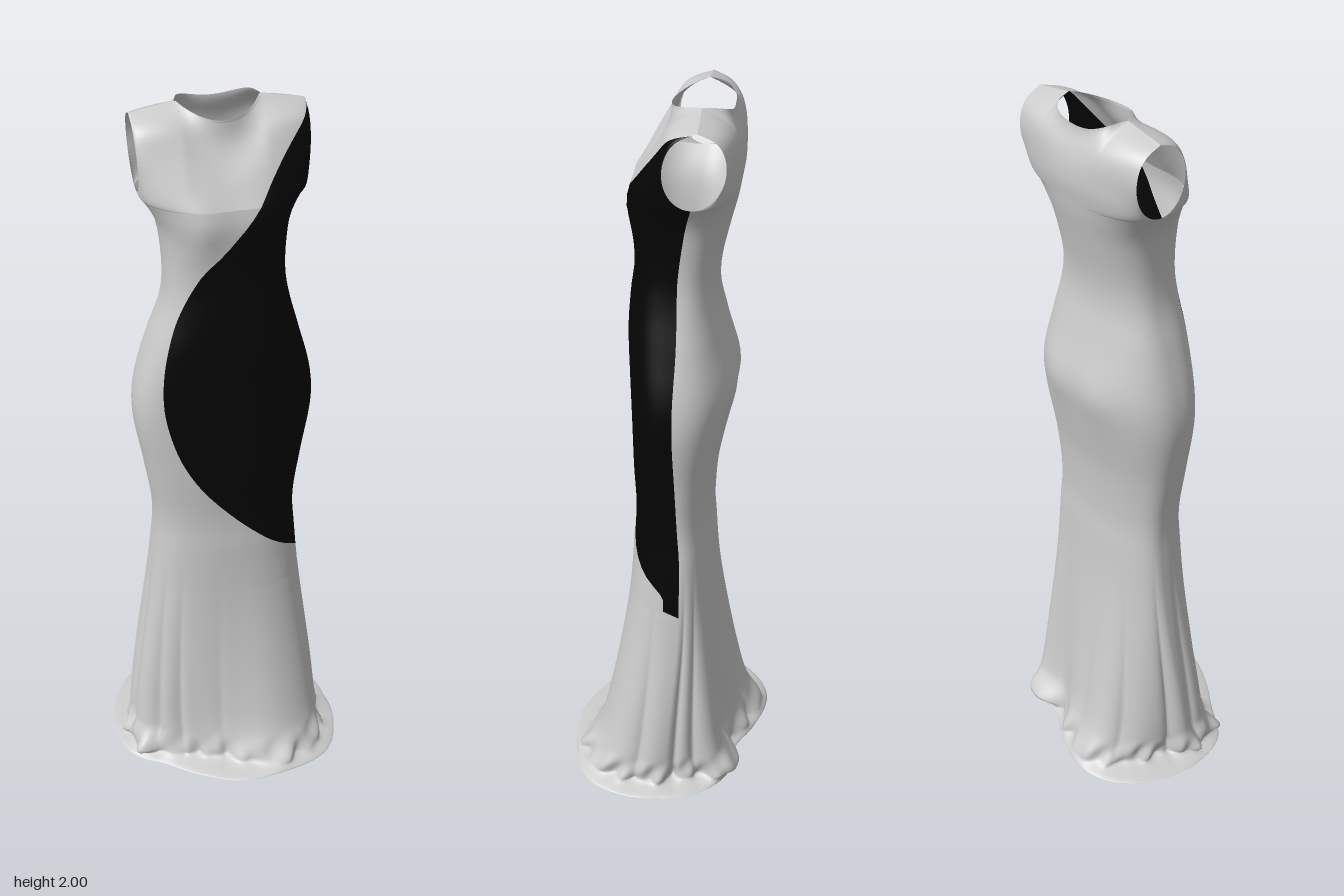
import * as THREE from 'three';
import { mergeGeometries, mergeVertices } from 'three/addons/utils/BufferGeometryUtils.js';

const { lerp, smoothstep, clamp } = THREE.MathUtils;

// smooth interpolation of rows [key, a, b, ...] with rising keys
function spline(rows) {
  const slope = (i, k) => {
    const p = rows[Math.max(i - 1, 0)], n = rows[Math.min(i + 1, rows.length - 1)];
    return (n[k] - p[k]) / (n[0] - p[0]);
  };
  return (key, k = 1) => {
    let i = 0;
    while (i < rows.length - 2 && key > rows[i + 1][0]) i++;
    const h = rows[i + 1][0] - rows[i][0], t = clamp((key - rows[i][0]) / h, 0, 1);
    const t2 = t * t, t3 = t2 * t;
    return (2 * t3 - 3 * t2 + 1) * rows[i][k] + (t3 - 2 * t2 + t) * h * slope(i, k)
      + (3 * t2 - 2 * t3) * rows[i + 1][k] + (t3 - t2) * h * slope(i + 1, k);
  };
}

const UNDERARM = 1.79, ROUND = 0.87, FRONT_ROUND = 0.7;

// body: height, right x, left x, front z, back z, side seam z
const body = spline([
  [0, -0.285, 0.28, 0.1, -0.125, -0.02], [0.4, -0.226, 0.236, 0.1, -0.122, -0.045],
  [0.75, -0.19, 0.21, 0.098, -0.12, -0.042], [0.86, -0.188, 0.205, 0.093, -0.118, -0.035],
  [1.0, -0.207, 0.22, 0.098, -0.128, -0.03], [1.17, -0.232, 0.243, 0.1, -0.158, -0.025],
  [1.27, -0.224, 0.236, 0.103, -0.168, -0.025], [1.4, -0.187, 0.202, 0.107, -0.143, -0.03],
  [1.5, -0.152, 0.175, 0.1, -0.123, -0.03], [1.58, -0.142, 0.163, 0.09, -0.125, -0.03],
  [1.7, -0.15, 0.17, 0.095, -0.15, -0.045], [1.75, -0.168, 0.185, 0.098, -0.163, -0.055],
  [UNDERARM, -0.195, 0.212, 0.092, -0.17, -0.065],
]);
// how far the skirt has spread towards its gathered outline just above the hem
const spread = spline([[0, 1.05], [0.03, 0.94], [0.1, 0.68], [0.2, 0.5], [0.4, 0.26], [0.6, 0.08], [0.8, 0]]);
// uneven outlines: radius every 22.5 degrees
const outline = (radii) => spline([...radii, radii[0]].map((r, i) => [i * 22.5, r]));
const skirt = outline([0.85, 0.93, 1, 0.95, 0.74, 0.66, 0.77, 0.84, 0.85, 0.78, 0.86, 1, 0.85, 0.7, 0.92, 0.84]);
const hem = outline([1, 1.08, 1.15, 1.06, 1, 0.9, 0.87, 0.98, 1, 1.03, 1.09, 1.09, 0.9, 0.78, 0.93, 0.98]);
// skirt folds: angle, width, depth
const folds = [[128, 6, 0.11], [146, 5, 0.12], [97, 7, 0.05], [20, 8, 0.08], [352, 6, 0.11], [335, 6, 0.1],
  [300, 7, 0.07], [265, 8, 0.06], [235, 6, 0.06], [195, 6, 0.09], [172, 5, 0.09]];
// heaps of cloth at the hem: angle, height
const heaps = [[152, 0.15], [304, 0.2], [176, 0.1]];
// contrast panel edge: height, x
const panelEdge = spline([[0.6, 0.218], [0.68, 0.202], [0.77, 0.105], [0.865, 0.01], [0.98, -0.08], [1.1, -0.137],
  [1.26, -0.166], [1.44, -0.14], [1.61, -0.068], [1.69, 0], [1.83, 0.105], [1.98, 0.225]]);
// centre line above the underarm: share of height, front z, back z
const yoke = spline([[0, 0.092, -0.17], [0.3, 0.06, -0.178], [0.7, 0.015, -0.173], [1, 0, -0.15]]);

const round = (c) => Math.sign(c) * Math.abs(c) ** ROUND;
const bump = (x, y, cx, cy, rx, ry) => Math.exp(-(((x - cx) / rx) ** 2) - ((y - cy) / ry) ** 2);

// point below the underarm
function lowerPoint(angle, y) {
  const c = Math.cos(angle), s = Math.sin(angle), deg = (THREE.MathUtils.radToDeg(angle) + 360) % 360;
  const xr = body(y, 1), xl = body(y, 2), seam = body(y, 5);
  let x = (xr + xl) / 2 + (xl - xr) / 2 * round(c);
  let z = seam + (body(y, s > 0 ? 3 : 4) - seam) * Math.abs(s) ** (s > 0 ? FRONT_ROUND : ROUND);
  // bust and seat
  for (const side of [-1, 1]) {
    const cx = 0.01 + side * 0.08;
    if (s > 0) z += 0.012 * bump(x, y, cx, 1.74, 0.05, 0.07) * s;
    else z += 0.01 * bump(x, y, cx, 1.26, 0.07, 0.09) * s;
  }
  // flare and folds
  const b = y < 0.8 ? spread(y) : 0, r = skirt(deg);
  x = lerp(x, 0.33 * r * c, b);
  z = lerp(z, 0.28 * r * s, b);
  const grow = 1 - smoothstep(y, 0.1, 0.8);
  let k = 1;
  for (const [a, w, depth] of folds) {
    const d = Math.abs(((deg - a + 540) % 360) - 180);
    k += depth * grow * (0.04 - Math.exp(-d / w));
  }
  // crumpled cloth above the flat brim
  const crumple = smoothstep(y, 0.003, 0.025) * (1 - smoothstep(y, 0.025, 0.1));
  k += 0.03 * crumple * (Math.sin(angle * 17 + y * 40) + 0.6 * Math.sin(angle * 29 + 1));
  for (const [a, height] of heaps) k += height * crumple * Math.exp(-(((deg - a) / 9) ** 2));
  const brim = (1 - smoothstep(y, 0, 0.025)) ** 2;
  return [lerp(x * k, 0.33 * hem(deg) * c, brim), y, lerp(z * k, 0.28 * hem(deg) * s, brim)];
}

// point between underarm and shoulder, v from 0 to 1
function upperPoint(angle, v, front) {
  const sign = front ? 1 : -1, c = round(Math.cos(angle));
  const half = lerp(0.2035, 0.212, v), d = half * c, q = Math.min(Math.abs(d) / 0.1, 1);
  const top = q < 1 ? 1.975 + 0.025 * q * q : 2 - 0.18 * (Math.abs(d) - 0.1);
  const rim = -0.08 + (front ? 0.08 * (1 - q * q) ** 0.8 : -0.07 * Math.sqrt(1 - q ** 4));
  const armhole = lerp(-0.065, -0.08, v) + sign * 0.074 * Math.sqrt(Math.max(0, 1 - (2 * v - 1) ** 2));
  const curve = lerp(front ? FRONT_ROUND : ROUND, front ? 1 : 2, smoothstep(v, 0, 0.5));
  let z = armhole + (yoke(v, front ? 1 : 2) - armhole) * Math.abs(Math.sin(angle)) ** curve;
  if (front) {
    for (const side of [-1, 1]) z += 0.012 * bump(d, lerp(UNDERARM, top, v), side * 0.08, 1.74, 0.05, 0.07) * Math.sin(angle);
  }
  // the shoulder rounds over late so that the armhole stays oval
  return [0.0085 + d, lerp(UNDERARM, top, v), lerp(z, rim, v ** lerp(front ? 3 : 4, 24, c * c))];
}

// angle where the contrast panel starts, for a nominal height
function panelAngle(y) {
  if (y <= 0.6 || y >= 1.978) return 0;
  const [mid, half] = y < UNDERARM
    ? [(body(y, 1) + body(y, 2)) / 2, (body(y, 2) - body(y, 1)) / 2]
    : [0.0085, lerp(0.2035, 0.212, (y - UNDERARM) / 0.19)];
  const c = clamp((panelEdge(y) - mid) / half, -1, 1);
  return Math.acos(Math.sign(c) * Math.abs(c) ** (1 / ROUND));
}

// rows: denser at the hem and at both ends of the armhole
const rows = [];
for (let i = 0; i <= 110; i++) rows.push({ y: UNDERARM * (i / 110) ** 1.6 });
for (let i = 1; i <= 30; i++) {
  const v = (1 - Math.cos(Math.PI * i / 30)) / 2;
  rows.push({ y: UNDERARM + 0.19 * v, v });
}

// grid between two angles given per row
function patch(from, to, columns, front, used = rows) {
  const position = [], index = [];
  used.forEach(({ y, v }, i) => {
    for (let j = 0; j <= columns; j++) {
      const angle = lerp(from(y), to(y), j / columns);
      position.push(...(v === undefined ? lowerPoint(angle, y) : upperPoint(angle, v, front)));
      if (i && j) {
        const d = i * (columns + 1) + j, c = d - 1, b = d - columns - 1, a = b - 1;
        index.push(a, c, b, b, c, d);
      }
    }
  });
  const g = new THREE.BufferGeometry();
  g.setAttribute('position', new THREE.Float32BufferAttribute(position, 3));
  return g.setIndex(index);
}

export function createModel() {
  const group = new THREE.Group();
  group.name = 'gown';
  const right = () => Math.PI, left = () => 0;
  const panelRows = rows.filter((r, i) => panelAngle(r.y) > 0
    || (rows[i + 1] && panelAngle(rows[i + 1].y) > 0) || (i && panelAngle(rows[i - 1].y) > 0));
  const parts = [
    ['gownFront', 0xcccccc, patch(panelAngle, right, 110, true)],
    ['contrastPanel', 0x050505, patch(left, panelAngle, 50, true, panelRows)],
    ['gownBack', 0xcccccc, patch(right, () => 2 * Math.PI, 110, false)],
  ];
  // weld the parts so the shading runs smoothly over the seams
  const whole = mergeVertices(mergeGeometries(parts.map((p) => p[2])), 1e-5);
  whole.computeVertexNormals();
  let start = 0;
  for (const [name, color, g] of parts) {
    const geometry = new THREE.BufferGeometry();
    geometry.setAttribute('position', whole.attributes.position);
    geometry.setAttribute('normal', whole.attributes.normal);
    geometry.setIndex(Array.from(whole.index.array.slice(start, start + g.index.count)));
    start += g.index.count;
    const mesh = new THREE.Mesh(geometry, new THREE.MeshStandardMaterial({ color, side: THREE.DoubleSide }));
    mesh.name = name;
    group.add(mesh);
  }
  return group;
}
